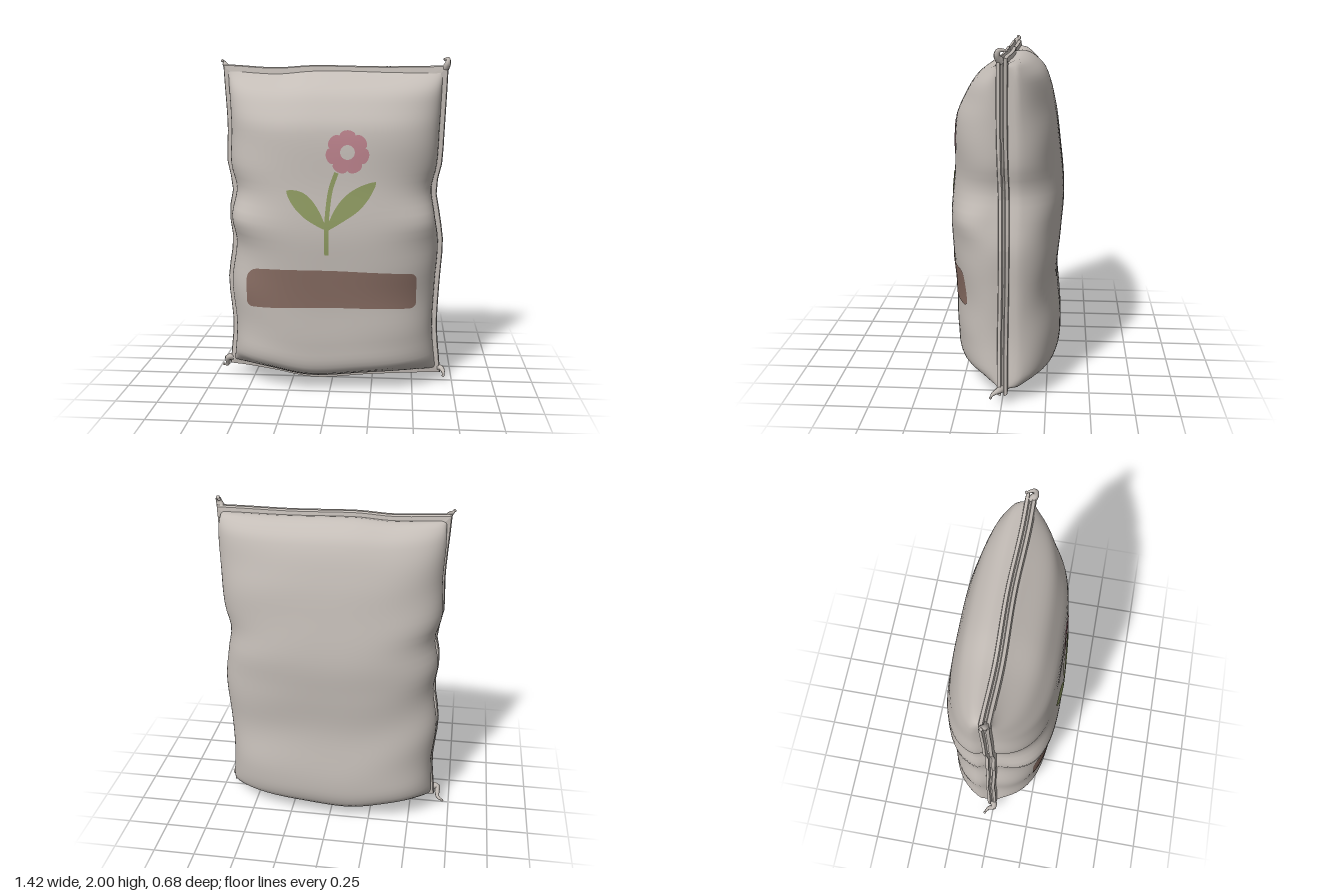
import * as THREE from 'three';

// Smooth interpolation through [position, value] pairs
function curve(pts) {
  const slope = pts.map((p, i) => {
    const a = pts[Math.max(i - 1, 0)], b = pts[Math.min(i + 1, pts.length - 1)];
    return (b[1] - a[1]) / (b[0] - a[0]);
  });
  return (x) => {
    let i = 0;
    while (i < pts.length - 2 && x > pts[i + 1][0]) i++;
    const [x0, y0] = pts[i], [x1, y1] = pts[i + 1], w = x1 - x0;
    const k = Math.min(Math.max((x - x0) / w, 0), 1), k2 = k * k, k3 = k2 * k;
    return y0 * (2 * k3 - 3 * k2 + 1) + slope[i] * w * (k3 - 2 * k2 + k)
      + y1 * (3 * k2 - 2 * k3) + slope[i + 1] * w * (k3 - k2);
  };
}

// Outline of the sack: wavy sides, sagging top and bottom
const leftX = curve([[0.05, -0.63], [0.35, -0.6], [0.65, -0.622], [0.89, -0.59], [1.07, -0.607],
  [1.23, -0.583], [1.37, -0.615], [1.6, -0.61], [1.95, -0.63]]);
const rightX = curve([[0.05, 0.65], [0.35, 0.62], [0.65, 0.63], [0.9, 0.645], [1.08, 0.62],
  [1.23, 0.598], [1.37, 0.628], [1.6, 0.64], [1.95, 0.655]]);
const topY = curve([[-1, 1.93], [-0.55, 1.912], [-0.2, 1.925], [0.45, 1.918], [1, 1.922]]);
const bottomY = curve([[-1, 0.112], [-0.6, 0.075], [-0.2, 0.035], [0.3, 0.058], [1, 0.09]]);
// Depth of the filling at each height
const frontZ = curve([[0.05, 0.018], [0.058, 0.07], [0.09, 0.165], [0.15, 0.275], [0.3, 0.303], [0.55, 0.308],
  [0.8, 0.325], [1, 0.335], [1.25, 0.315], [1.58, 0.296], [1.7, 0.245], [1.8, 0.178], [1.9, 0.035], [1.91, 0.018]]);
const backZ = curve([[0.05, 0.018], [0.056, 0.09], [0.09, 0.2], [0.15, 0.295], [0.3, 0.328], [0.65, 0.302],
  [0.9, 0.322], [1.12, 0.337], [1.4, 0.31], [1.6, 0.28], [1.8, 0.22], [1.88, 0.14], [1.905, 0.07], [1.91, 0.018]]);

const mix = (a, b, s) => a + (b - a) * (s + 1) / 2;

// (s, t) in -1..1 across and up the sack -> x, y
function outline(s, t) {
  const y = mix(bottomY(s), topY(s), t);
  return [mix(leftX(y), rightX(y), s), y];
}

function depth(s, t, side) {
  const y = 0.98 + 0.93 * t;
  // The front is squarest where the sides bulge at mid height
  const power = side > 0 ? 0.47 - 0.17 * Math.exp(-(((y - 1.02) / 0.1) ** 2)) : 0.42;
  const across = Math.pow(Math.max(1 - Math.abs(s) ** 3, 0), power);
  const folds = 0.008 * s * s * Math.sin(y * 17 + s * 2);
  const full = (side > 0 ? frontZ(y) * (1 - 0.05 * s) : backZ(y)) + folds;
  return side * (0.018 + Math.max(full - 0.018, 0) * across);
}

// One point of the stuffed body; the back swells out past the hem
function bodyPoint(s, t, side) {
  const z = depth(s, t, side);
  const swell = side < 0 ? Math.min((-z - 0.018) / 0.07, 1) : 0;
  return [...outline(s * (1 + 0.05 * swell), t * (1 + 0.02 * swell)), z];
}

// Surface from a rule: fn(u, v) -> [x, y, z], u and v in 0..1
function grid(fn, nu, nv) {
  const pos = [], index = [];
  for (let j = 0; j <= nv; j++) {
    for (let i = 0; i <= nu; i++) {
      pos.push(...fn(i / nu, j / nv));
      if (i < nu && j < nv) {
        const a = j * (nu + 1) + i, b = a + nu + 1;
        index.push(a, a + 1, b + 1, a, b + 1, b);
      }
    }
  }
  const g = new THREE.BufferGeometry();
  g.setAttribute('position', new THREE.Float32BufferAttribute(pos, 3));
  g.setIndex(index);
  g.computeVertexNormals();
  return g;
}

// Lay a painted point on the front of the sack
function drape(x, y) {
  const l = leftX(y), r = rightX(y), s = (2 * x - l - r) / (r - l);
  const b = bottomY(s), t = (2 * y - b - topY(s)) / (topY(s) - b);
  return [x, y, depth(s, t, 1) + 0.004];
}

export function createModel() {
  const group = new THREE.Group();
  const material = (name, color) => {
    const m = new THREE.MeshStandardMaterial({ color, side: THREE.DoubleSide });
    m.name = name;
    return m;
  };
  const cloth = material('cloth', 0xc5beb8);
  const pink = material('petal pink', 0xbb828c);
  const green = material('leaf green', 0x8f9b62);
  const brown = material('label brown', 0x876c62);
  const add = (name, geometry, mat) => {
    const mesh = new THREE.Mesh(geometry, mat);
    mesh.name = name;
    group.add(mesh);
    return mesh;
  };

  // Stuffed front and back, with rows packed closer at the edges
  const ease = (u) => Math.sin((u - 0.5) * Math.PI);
  for (const side of [1, -1]) {
    add(side > 0 ? 'sackFront' : 'sackBack',
      grid((u, v) => bodyPoint(ease(u) * side, ease(v), side), 48, 60), cloth);
  }

  // Folded hem around the edge: two lips with a groove between
  const lips = [[-0.012, -0.034], [0.026, -0.028], [0.032, -0.01], [0.012, -0.004],
    [0.012, 0.004], [0.032, 0.01], [0.026, 0.028], [-0.012, 0.034]];
  const corners = [[-1, -1], [1, -1], [1, 1], [-1, 1], [-1, -1]];
  const hem = grid((u, v) => {
    const k = Math.min(Math.floor(u * 4), 3), f = u * 4 - k;
    const s = corners[k][0] + (corners[k + 1][0] - corners[k][0]) * f;
    const t = corners[k][1] + (corners[k + 1][1] - corners[k][1]) * f;
    const [d, z] = lips[Math.round(v * (lips.length - 1))];
    const [x, y] = outline(s, t);
    const wave = 0.005 * Math.sin(s * 5 + t * 4) - 0.008;
    return [x + Math.trunc(s) * d, y + Math.trunc(t) * d, z + wave];
  }, 80, lips.length - 1).toNonIndexed();
  hem.computeVertexNormals();
  add('hem', hem, cloth);

  // Twisted cloth ears and loose threads at the corners
  const ears = {
    earTopRight: [[-0.63, 1.93, 0], [-0.65, 1.96, -0.01], [-0.66, 1.975, -0.03], [-0.67, 1.983, -0.02]],
    earTopLeft: [[0.66, 1.93, 0], [0.68, 1.965, 0.02], [0.682, 1.99, 0.01], [0.665, 1.99, -0.03]],
    earBottomRight: [[-0.64, 0.12, 0], [-0.668, 0.12, 0.01], [-0.68, 0.06, -0.03], [-0.71, 0.05, -0.05]],
    earBottomLeft: [[0.65, 0.09, 0], [0.68, 0.09, 0.02], [0.695, 0.075, 0.05], [0.695, 0.055, 0.06]],
  };
  for (const [name, pts] of Object.entries(ears)) {
    const path = new THREE.CatmullRomCurve3(pts.map((p) => new THREE.Vector3(...p)));
    const geo = new THREE.TubeGeometry(path, 12, 1, 6);
    const p = geo.attributes.position, c = new THREE.Vector3(), q = new THREE.Vector3();
    // Taper each ear towards its tip
    for (let i = 0; i < p.count; i++) {
      const k = Math.floor(i / 7) / 12;
      path.getPointAt(k, c);
      q.fromBufferAttribute(p, i).sub(c).multiplyScalar(0.02 * (1 - k) + 0.006).add(c);
      p.setXYZ(i, q.x, q.y, q.z);
    }
    add(name, geo, cloth);
    const knot = add(name + 'Tip', new THREE.SphereGeometry(0.009, 7, 5), cloth);
    knot.position.set(...pts[3]);
  }

  // Painted label with rounded ends
  const labelTop = curve([[-0.5, 0.762], [-0.35, 0.773], [0, 0.776], [0.3, 0.762], [0.515, 0.745]]);
  const labelBottom = curve([[-0.5, 0.53], [0, 0.547], [0.25, 0.542], [0.515, 0.53]]);
  add('label', grid((u, v) => {
    const x = 0.0075 + 0.5075 * ease(u);
    const cut = (edge, r) => {
      const e = Math.max(1 - edge / r, 0);
      return r * (1 - Math.sqrt(1 - e * e));
    };
    const lo = labelBottom(x) + cut(Math.min(x + 0.5, 0.515 - x), 0.035);
    const hi = labelTop(x) - cut(x < 0 ? x + 0.5 : 0.515 - x, x < 0 ? 0.07 : 0.035);
    return drape(x, lo + (hi - lo) * v);
  }, 60, 10), brown);

  // Painted flower: scalloped ring with an open centre
  add('petals', grid((u, v) => {
    const a = u * Math.PI * 2;
    const outer = 0.105 + 0.021 * Math.sqrt(Math.abs(Math.sin(3.5 * a - 0.785)));
    const r = 0.042 + (outer - 0.042) * v;
    return drape(0.108 + r * Math.cos(a), 1.467 + r * Math.sin(a));
  }, 84, 4), pink);

  // Painted stem and leaves: ribbons with a width rule
  const ribbon = (name, pts, width) => {
    const path = new THREE.CatmullRomCurve3(pts.map(([x, y]) => new THREE.Vector3(x, y, 0)));
    add(name, grid((u, v) => {
      const p = path.getPoint(u), d = path.getTangent(u), w = width(u) * (1 - 2 * v);
      return drape(p.x - d.y * w, p.y + d.x * w);
    }, 24, 4), green);
  };
  const leaf = (w) => (u) => w * Math.sin(Math.PI * u ** 1.15) ** 0.8 + 0.003;
  ribbon('stem', [[0.045, 1.35], [0.012, 1.25], [-0.007, 1.1], [-0.012, 1], [-0.01, 0.87]], () => 0.013);
  ribbon('leafRight', [[-0.012, 1.02], [-0.09, 1.105], [-0.17, 1.19], [-0.243, 1.243]], leaf(0.05));
  ribbon('leafLeft', [[-0.012, 1.015], [0.08, 1.12], [0.17, 1.205], [0.272, 1.295]], leaf(0.054));

  return group;
}
